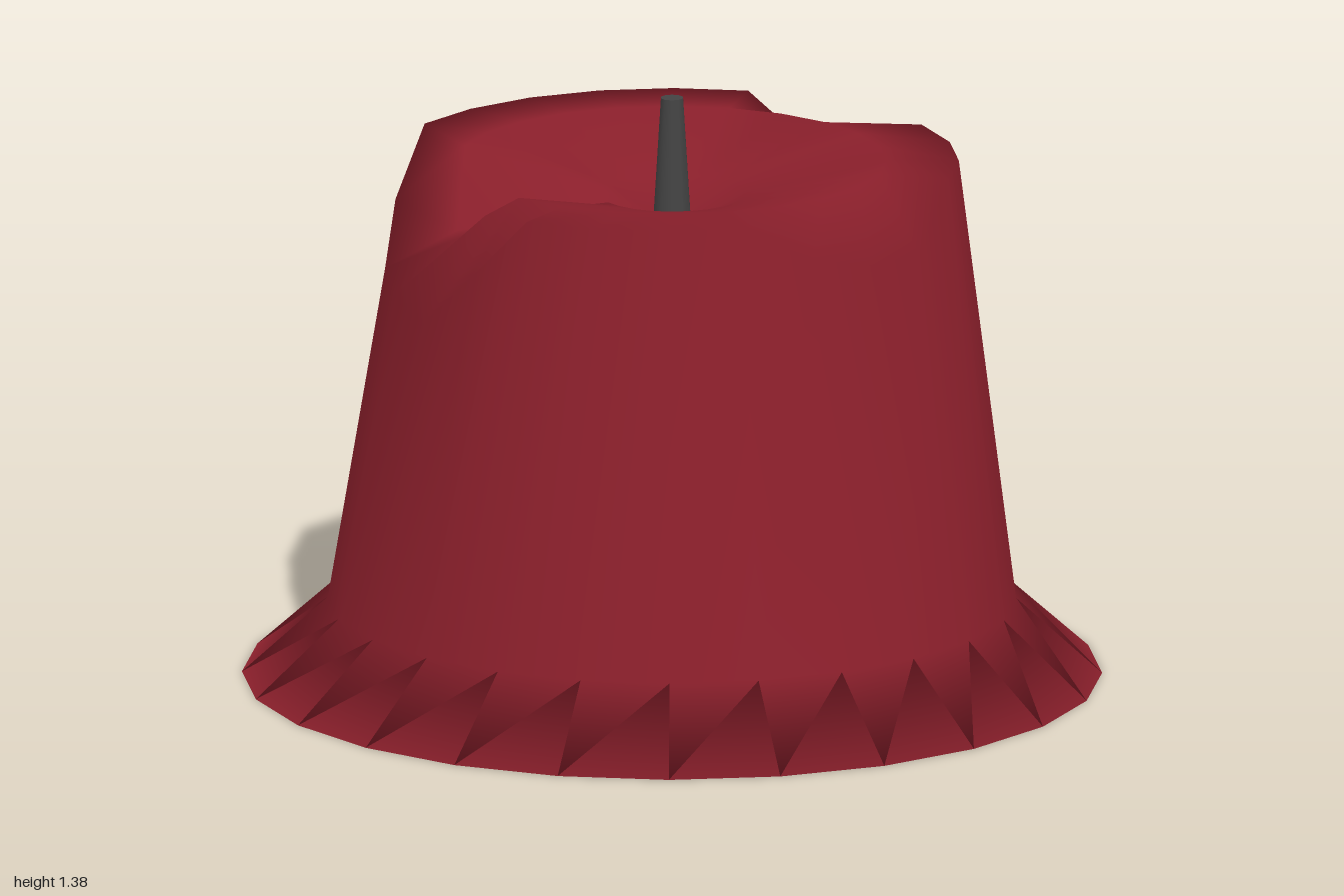
import * as THREE from 'three';
import { mergeVertices } from 'three/addons/utils/BufferGeometryUtils.js';

const SIDES = 24;

// Melted notches: heights by step of 15 degrees, counted from +x towards +z
const rimDips = { 2: 1.09, 3: 1.1, 4: 1.14, 9: 1.06, 10: 0.92, 11: 0.95, 12: 0.97, 13: 1.09, 20: 1.1, 21: 1.12 };
const lipDips = { 10: 1.16, 11: 1.08, 12: 1.06 };
const poolDips = { 11: 1.11, 12: 1.1 };

// Rings from the centre of the underside, up the wall and into the melted top
const rings = [
  { r: 0, y: 0 },
  { r: 1, y: 0 },
  { r: 0.8, y: 0.18 },
  { r: 0.667, y: 1.23, dips: rimDips },
  { r: 0.5, y: 1.23, dips: lipDips },
  { r: 0.17, y: 1.15, dips: poolDips },
  { r: 0, y: 1.07 },
];

function waxGeometry() {
  const positions = [];
  const index = [];
  rings.forEach(({ r, y, dips = {} }, i) => {
    for (let j = 0; j < SIDES; j++) {
      const angle = (j / SIDES) * Math.PI * 2;
      positions.push(r * Math.cos(angle), dips[j] ?? y, r * Math.sin(angle));
      if (i === rings.length - 1) continue;
      const a = i * SIDES + j;
      const b = i * SIDES + ((j + 1) % SIDES);
      const c = a + SIDES;
      const d = b + SIDES;
      if (r > 0) index.push(a, c, b);
      if (rings[i + 1].r > 0) index.push(b, c, d);
    }
  });
  let geometry = new THREE.BufferGeometry();
  geometry.setAttribute('position', new THREE.Float32BufferAttribute(positions, 3));
  geometry.setIndex(index);
  geometry = mergeVertices(geometry);
  geometry.computeVertexNormals();
  return geometry;
}

export function createModel() {
  const model = new THREE.Group();
  model.name = 'candle';

  // Wax body with flared foot
  const wax = new THREE.Mesh(waxGeometry(), new THREE.MeshStandardMaterial({ color: 0x8a1f2b }));
  wax.name = 'waxBody';
  model.add(wax);

  // Tapered wick
  const wick = new THREE.Mesh(
    new THREE.CylinderGeometry(0.027, 0.048, 0.33, 10),
    new THREE.MeshStandardMaterial({ color: 0x444444 })
  );
  wick.name = 'wick';
  wick.position.y = 1.215;
  model.add(wick);

  return model;
}
